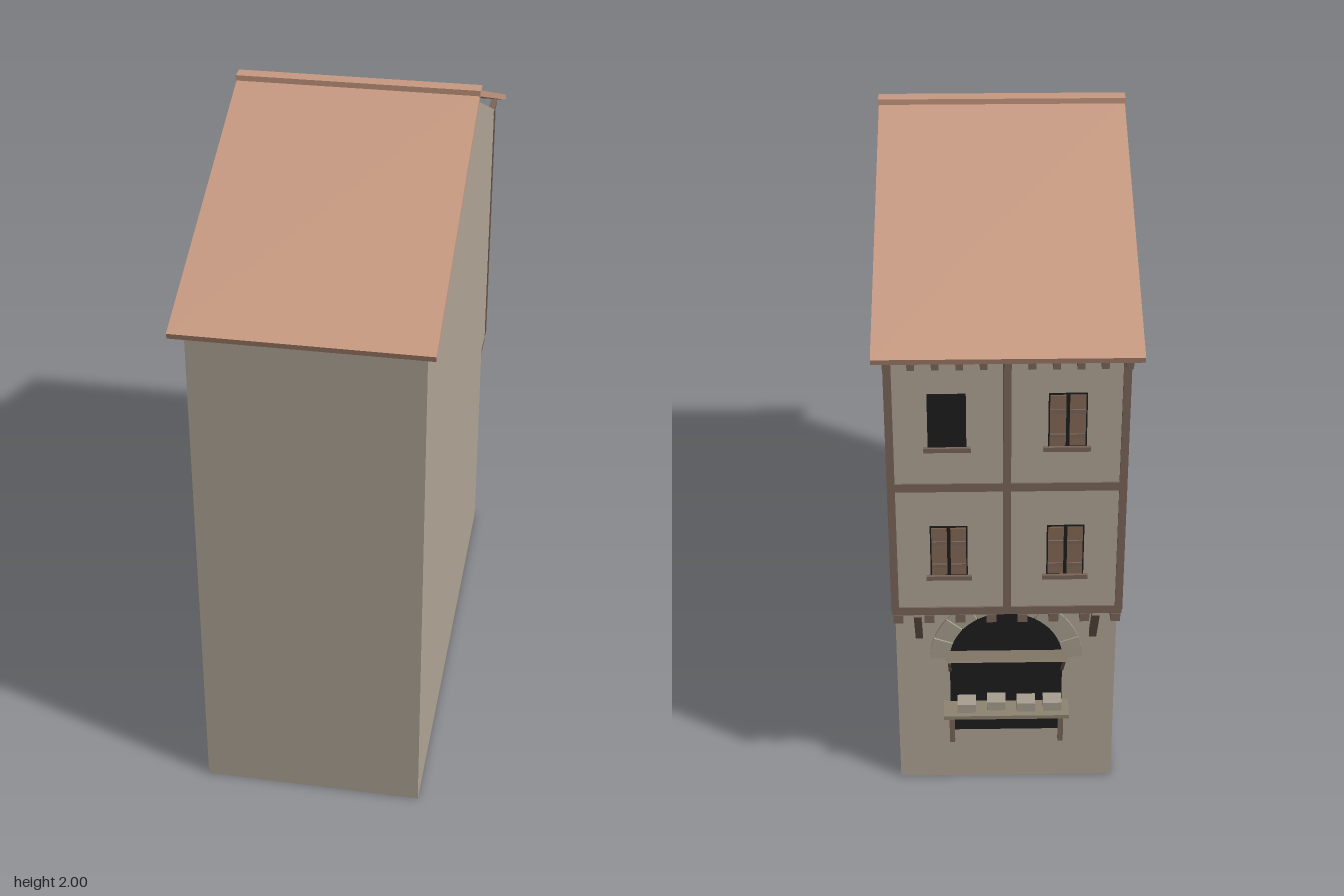
import * as THREE from 'three';

const mat = (name, color) => {
  const m = new THREE.MeshStandardMaterial({ color });
  m.name = name;
  return m;
};

export function createModel() {
  const plaster = mat('plaster', 0xb1a797);
  const tile = mat('roof tile', 0xc89a82);
  const timber = mat('timber', 0x7b665a);
  const shutterWood = mat('shutter wood', 0x866a58);
  const board = mat('weathered board', 0x8f8472);
  const stone = mat('stone', 0xa89f90);
  const dark = mat('dark opening', 0x1d1d1f);

  const house = new THREE.Group();
  house.name = 'townHouse';

  const add = (name, geometry, material, parent = house) => {
    const mesh = new THREE.Mesh(geometry, material);
    mesh.name = name;
    parent.add(mesh);
    return mesh;
  };
  // box given by its limits on each axis
  const box = (name, x0, x1, y0, y1, z0, z1, material, parent) => {
    const mesh = add(name, new THREE.BoxGeometry(x1 - x0, y1 - y0, z1 - z0), material, parent);
    mesh.position.set((x0 + x1) / 2, (y0 + y1) / 2, (z0 + z1) / 2);
    return mesh;
  };
  // side profile of [z, y] points, extruded across the width
  const across = (name, points, width, material) => {
    const shape = new THREE.Shape(points.map(([z, y]) => new THREE.Vector2(z, y)));
    const geometry = new THREE.ExtrudeGeometry(shape, { depth: width, bevelEnabled: false });
    geometry.translate(0, 0, -width / 2).rotateY(-Math.PI / 2);
    return add(name, geometry, material);
  };
  // sloping bar between two [z, y] points
  const bar = (name, x, [z0, y0], [z1, y1], width, thick, material) => {
    const length = Math.hypot(z1 - z0, y1 - y0);
    const mesh = add(name, new THREE.BoxGeometry(width, thick, length), material);
    mesh.position.set(x, (y0 + y1) / 2, (z0 + z1) / 2);
    mesh.rotation.x = -Math.atan2(y1 - y0, z1 - z0);
    return mesh;
  };

  // walls with the jettied upper floors
  across('walls', [[-0.69, 0], [0.835, 0], [0.835, 1.6], [0, 1.97], [-0.805, 1.6],
    [-0.805, 0.72], [-0.69, 0.72]], 0.66, plaster);

  // roof
  for (const s of [1, -1]) {
    across('roofSlope', [[0, 1.974], [s * 0.895, 1.601], [s * 0.9, 1.618], [0, 1.993]], 0.72, tile);
  }
  box('ridgeCap', -0.362, 0.362, 1.978, 2, -0.023, 0.023, tile);

  // rafter tails under the rear eaves
  for (let i = 0; i < 11; i++) {
    const x = -0.32 + i * 0.064;
    box('rafterTail', x - 0.01, x + 0.01, 1.583, 1.602, -0.895, -0.78, timber);
  }

  // timber frame of the upper floors
  const face = -0.805;
  for (const x of [-0.323, 0, 0.323]) {
    box('post', x - 0.011, x + 0.011, 0.735, 1.6, face - 0.006, face + 0.01, timber);
  }
  for (const y of [0.735, 1.16, 1.588]) {
    box('rail', -0.332, 0.332, y - 0.013, y + 0.013, face - 0.005, face + 0.008, timber);
  }

  // joists and braces carrying the jetty
  for (let i = 0; i < 8; i++) {
    const x = -0.315 + i * 0.09;
    box('joist', x - 0.014, x + 0.014, 0.695, 0.722, -0.812, -0.685, timber);
  }
  for (const x of [-0.26, 0.26]) {
    bar('brace', x, [-0.685, 0.55], [-0.785, 0.705], 0.022, 0.018, timber);
  }

  // windows, the upper one at the left standing open
  for (const x of [-0.165, 0.165]) {
    for (const y of [0.945, 1.375]) {
      const windowGroup = new THREE.Group();
      windowGroup.name = 'window';
      windowGroup.position.set(x, y, face);
      house.add(windowGroup);
      box('opening', -0.053, 0.053, -0.085, 0.085, -0.002, 0.002, dark, windowGroup);
      box('sill', -0.065, 0.065, -0.097, -0.083, -0.01, 0.002, timber, windowGroup);
      if (x > 0 && y > 1.2) continue;
      for (const s of [-1, 1]) {
        box('shutter', s * 0.027 - 0.022, s * 0.027 + 0.022, -0.08, 0.08, -0.005, 0, shutterWood, windowGroup);
        for (const h of [-0.047, 0.03]) {
          box('batten', s * 0.027 - 0.021, s * 0.027 + 0.021, h - 0.006, h + 0.006, -0.009, 0, timber, windowGroup);
        }
      }
    }
  }

  // arched shop opening
  const wall = -0.69;
  const arch = new THREE.Shape();
  arch.moveTo(-0.17, 0.19);
  arch.lineTo(0.17, 0.19);
  arch.lineTo(0.17, 0.47);
  arch.absarc(0, 0.47, 0.17, 0, Math.PI);
  const archGeometry = new THREE.ExtrudeGeometry(arch, { depth: 0.004, bevelEnabled: false, curveSegments: 20 });
  add('shopOpening', archGeometry, dark).position.z = wall - 0.003;

  // arch stones
  const stones = 9;
  for (let i = 0; i < stones; i++) {
    const a = (i + 0.03) * Math.PI / stones;
    const b = (i + 0.97) * Math.PI / stones;
    const shape = new THREE.Shape();
    shape.absarc(0, 0, 0.23, a, b);
    shape.absarc(0, 0, 0.17, b, a, true);
    const geometry = new THREE.ExtrudeGeometry(shape, { depth: 0.008, bevelEnabled: false, curveSegments: 3 });
    add('archStone', geometry, stone).position.set(0, 0.47, wall - 0.006);
  }

  // propped hatch above the counter
  bar('hatch', 0, [wall, 0.492], [-0.805, 0.545], 0.36, 0.007, board);
  for (const x of [-0.17, 0.17]) {
    bar('hatchProp', x, [wall, 0.42], [-0.8, 0.54], 0.008, 0.007, timber);
  }

  // counter with goods
  box('counterTop', -0.19, 0.19, 0.29, 0.303, -0.765, -0.68, board);
  for (const x of [-0.165, 0.165]) {
    box('counterLeg', x - 0.008, x + 0.008, 0.195, 0.29, -0.757, -0.741, timber);
  }
  [[0.12, -0.725], [0.03, -0.715], [-0.06, -0.722], [-0.14, -0.72]].forEach(([x, z]) => {
    box('crate', x - 0.028, x + 0.028, 0.303, 0.334, z - 0.024, z + 0.024, stone);
  });

  return house;
}
